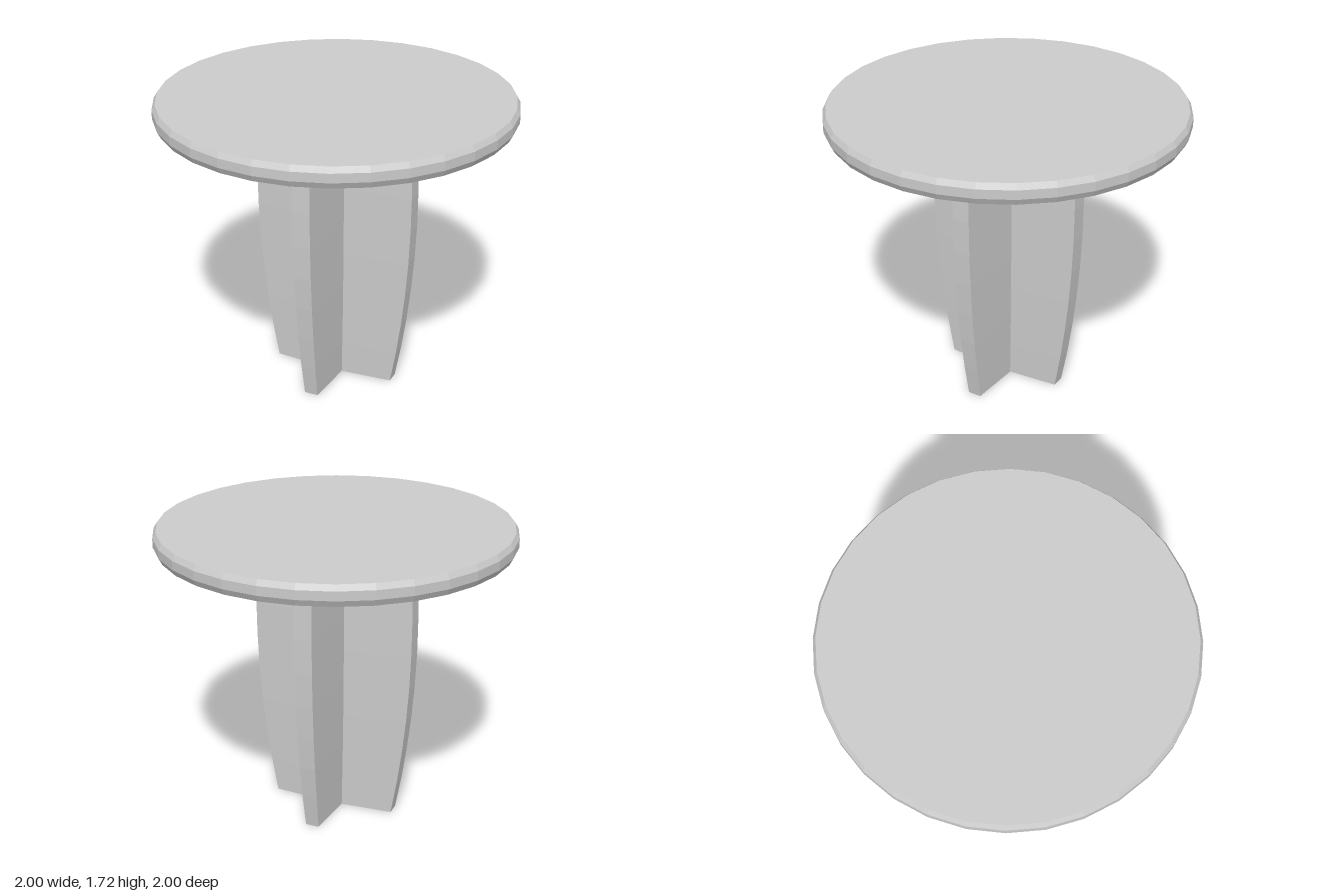
import * as THREE from 'three';

const material = new THREE.MeshStandardMaterial({ color: 0xcccccc, flatShading: true });

// Round top: a faceted disc with a bevelled rim
function createTableTop() {
  const profile = [[0, 1.605], [0.98, 1.605], [0.998, 1.64], [0.998, 1.69], [0.98, 1.72], [0, 1.72]]
    .map(([r, y]) => new THREE.Vector2(r, y));
  const top = new THREE.Mesh(new THREE.LatheGeometry(profile, 32), material);
  top.name = 'tableTop';
  return top;
}

// Cross-shaped pedestal: four fins that thin outward, bulging along the height
function createPedestal() {
  const height = 1.605, reach = 0.473, tip = 0.052, notch = 0.081;
  const points = [];
  for (let i = 0; i < 4; i++) {
    for (const [x, y] of [[reach, -tip], [reach, tip], [notch, notch]]) {
      points.push(new THREE.Vector2(x, y).rotateAround(new THREE.Vector2(), i * Math.PI / 2));
    }
  }
  const geometry = new THREE.ExtrudeGeometry(new THREE.Shape(points), {
    depth: height, steps: 8, bevelEnabled: false,
  });
  geometry.rotateX(-Math.PI / 2);

  // Scale each level: widest at y = 1.15, narrowest at the floor
  const pos = geometry.attributes.position;
  for (let i = 0; i < pos.count; i++) {
    const s = 1 - 0.174 * (pos.getY(i) - 1.15) ** 2;
    pos.setX(i, pos.getX(i) * s + 0.002);
    pos.setZ(i, pos.getZ(i) * s * 0.975 + 0.004);
  }
  geometry.computeVertexNormals();
  const pedestal = new THREE.Mesh(geometry, material);
  pedestal.name = 'pedestal';
  return pedestal;
}

export function createModel() {
  const table = new THREE.Group();
  table.name = 'table';
  table.add(createTableTop(), createPedestal());
  return table;
}
